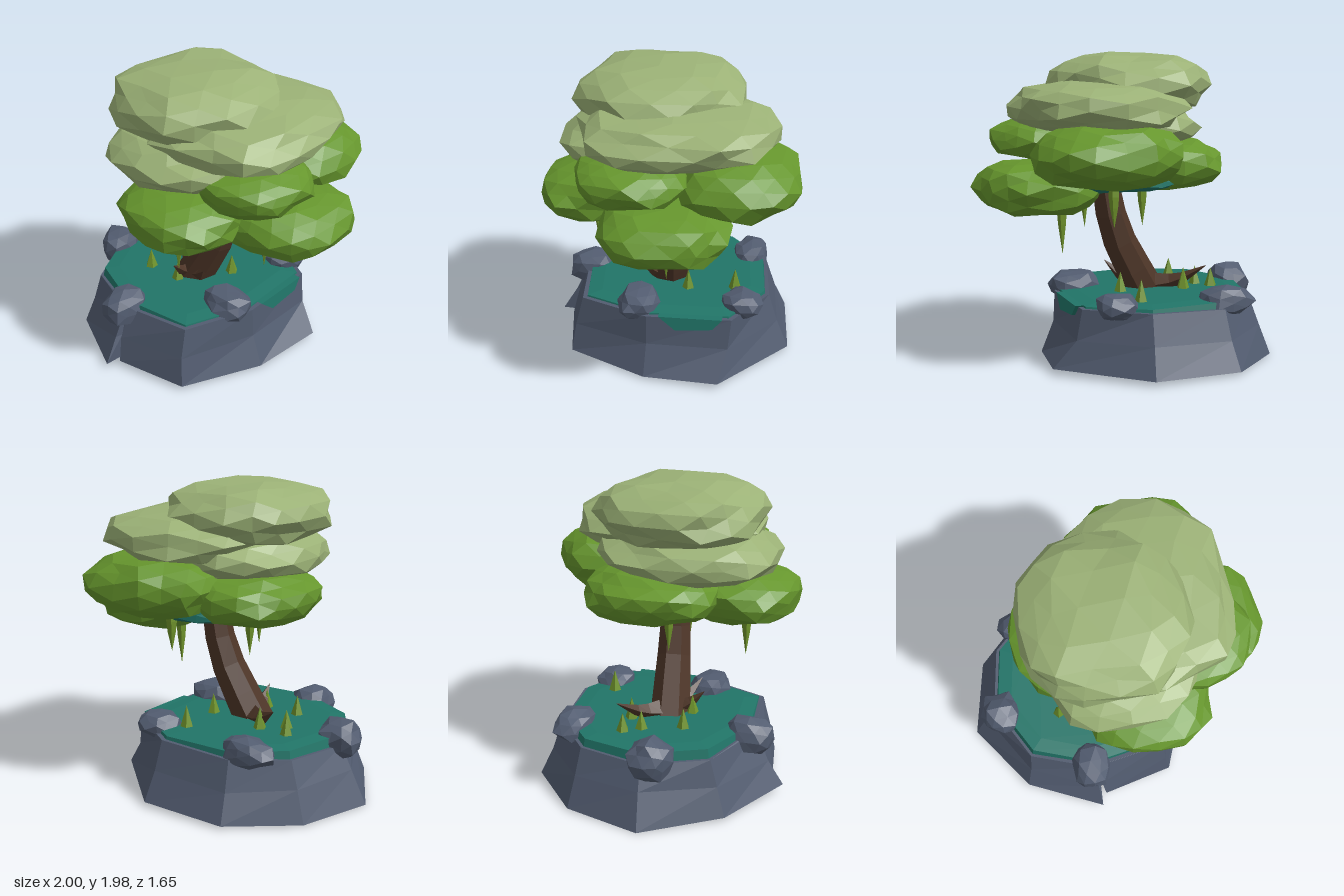
import * as THREE from 'three';

const mat = (name, color, side = THREE.FrontSide) => {
  const m = new THREE.MeshStandardMaterial({ color, flatShading: true, side });
  m.name = name;
  return m;
};

export function createModel() {
  const model = new THREE.Group();
  model.name = 'treeOnRock';
  const stone = mat('slate stone', 0x525c70);
  const moss = mat('teal moss', 0x217568);
  const bark = mat('brown bark', 0x4d3527, THREE.DoubleSide);
  const leaf = mat('green leaves', 0x66962d);
  const paleLeaf = mat('pale leaves', 0x9bb176);
  const grass = mat('grass green', 0x70942c);

  const add = (parent, name, geometry, material) => {
    const mesh = new THREE.Mesh(geometry, material);
    mesh.name = name;
    parent.add(mesh);
    return mesh;
  };
  const group = (name) => {
    const g = new THREE.Group();
    g.name = name;
    model.add(g);
    return g;
  };

  // Stacks outlines of [x, y, z] corners into a closed faceted solid
  const loft = (rings) => {
    const pos = [];
    const n = rings[0].length;
    for (let r = 0; r < rings.length - 1; r++) {
      const a = rings[r], b = rings[r + 1];
      for (let i = 0; i < n; i++) {
        const j = (i + 1) % n;
        pos.push(...a[i], ...b[i], ...a[j], ...a[j], ...b[i], ...b[j]);
      }
    }
    const cap = (ring, up) => {
      const flat = ring.map(([x, , z]) => new THREE.Vector2(x, z));
      for (const [a, b, c] of THREE.ShapeUtils.triangulateShape(flat, [])) {
        pos.push(...ring[a], ...ring[up ? c : b], ...ring[up ? b : c]);
      }
    };
    cap(rings[0], false);
    cap(rings[rings.length - 1], true);
    const g = new THREE.BufferGeometry();
    g.setAttribute('position', new THREE.Float32BufferAttribute(pos, 3));
    g.computeVertexNormals();
    return g;
  };

  // Uneven faceted, slightly boxy ellipsoid; equal corners get equal offsets
  const lump = (radii, seed, detail, rough) => {
    const g = new THREE.IcosahedronGeometry(1, detail);
    const p = g.attributes.position;
    const full = (c) => Math.sign(c) * Math.abs(c) ** 0.85;
    for (let i = 0; i < p.count; i++) {
      const v = [p.getX(i), p.getY(i), p.getZ(i)];
      const k = v.map((c) => Math.round(c * 100));
      const h = Math.sin(k[0] * 12.99 + k[1] * 78.23 + k[2] * 37.72 + seed * 9.17) * 43758.5;
      const s = 1.04 - rough * (h - Math.floor(h));
      p.setXYZ(i, ...v.map((c, a) => full(c) * s * radii[a]));
    }
    g.computeVertexNormals();
    return g;
  };

  // Tapered tube along a curve
  const limb = (points, r0, r1, sides) => {
    const curve = new THREE.CatmullRomCurve3(points.map((q) => new THREE.Vector3(...q)));
    const seg = 5;
    const g = new THREE.TubeGeometry(curve, seg, 1, sides);
    const p = g.attributes.position;
    const v = new THREE.Vector3();
    for (let i = 0; i < p.count; i++) {
      const t = Math.floor(i / (sides + 1)) / seg;
      const c = curve.getPointAt(t);
      v.fromBufferAttribute(p, i).sub(c).multiplyScalar(THREE.MathUtils.lerp(r0, r1, t)).add(c);
      p.setXYZ(i, v.x, v.y, v.z);
    }
    return g;
  };

  // Rock base with a crack low at the front
  const bottom = [[-0.5, 0.02, -0.74], [0.08, 0.03, -0.78], [0.6, 0.04, -0.35], [0.54, 0.015, 0.14],
    [0.31, 0.03, 0.66], [-0.17, 0.04, 0.75], [-0.14, 0.04, 0.03], [-0.21, 0.04, 0.83],
    [-0.7, 0.02, 0.57], [-1, 0, 0.1], [-0.87, 0.01, -0.4]];
  const middle = [[-0.47, 0.2, -0.66], [0.06, 0.22, -0.7], [0.46, 0.22, -0.4], [0.46, 0.22, 0.13],
    [0.28, 0.22, 0.63], [-0.19, 0.2, 0.71], [-0.2, 0.21, 0.69], [-0.22, 0.2, 0.73],
    [-0.66, 0.2, 0.51], [-0.9, 0.22, 0.08], [-0.8, 0.21, -0.37]];
  const top = [[-0.45, 0.39, -0.6], [0.05, 0.41, -0.64], [0.43, 0.42, -0.42], [0.45, 0.42, 0.13],
    [0.27, 0.42, 0.58], [-0.18, 0.4, 0.63], [-0.2, 0.4, 0.63], [-0.21, 0.39, 0.64],
    [-0.64, 0.37, 0.46], [-0.83, 0.37, 0.07], [-0.74, 0.38, -0.35]];
  add(model, 'rockBase', loft([bottom, middle, top]), stone);

  // Mossy ground on top of the rock, spilling over one edge
  const shrink = (s, y) => top.filter((_, i) => i !== 6).map(([x, , z]) => [-0.18 + (x + 0.18) * s, y, z * s]);
  add(model, 'mossGround', loft([shrink(0.98, 0.34), shrink(0.95, 0.43), shrink(0.8, 0.44)]), moss);
  add(model, 'mossSpill', loft([
    [[0.3, 0.36, -0.3], [0.463, 0.36, -0.3], [0.468, 0.34, -0.06], [0.3, 0.34, -0.06]],
    [[0.3, 0.43, -0.36], [0.455, 0.43, -0.36], [0.46, 0.43, 0.05], [0.3, 0.43, 0.05]],
  ]), moss);

  // Loose stones round the rim: centre, radii
  const stones = group('rimStones');
  [
    [[-0.79, 0.4, 0.12], [0.15, 0.14, 0.15]],
    [[-0.25, 0.38, 0.61], [0.14, 0.125, 0.17]],
    [[0.29, 0.44, 0.2], [0.19, 0.1, 0.14]],
    [[0.22, 0.43, -0.47], [0.14, 0.09, 0.14]],
    [[-0.51, 0.42, -0.49], [0.19, 0.1, 0.13]],
  ].forEach(([c, r], i) => {
    add(stones, 'rimStone', lump(r, i + 3, 1, 0.22), stone).position.set(...c);
  });

  // Leaning trunk and pointed roots
  const trunk = group('trunkAndRoots');
  add(trunk, 'trunk', limb([[-0.16, 0.38, 0.05], [-0.05, 0.58, 0.03], [0.07, 0.82, 0.01],
    [0.13, 1.08, 0], [0.17, 1.35, 0]], 0.135, 0.08, 7), bark);
  [[-0.49, 0.59, -0.2], [0.08, 0.59, 0.2], [-0.12, 0.58, 0.27]].forEach(([x, y, z]) => {
    const mid = [-0.15 + (x + 0.15) * 0.5, 0.48, 0.03 + (z - 0.03) * 0.5];
    add(trunk, 'root', limb([[-0.15, 0.44, 0.03], mid, [x, y, z]], 0.085, 0.002, 4), bark);
  });

  // Canopy clumps: centre, radii
  const canopy = group('canopy');
  const clumps = (name, material, list, seed) => list.forEach(([c, r], i) => {
    add(canopy, name, lump(r, seed + i, 2, 0.14), material).position.set(...c);
  });
  clumps('lowerLeaves', leaf, [
    [[0.15, 1.2, 0.44], [0.41, 0.175, 0.39]],
    [[0.6, 1.14, -0.01], [0.4, 0.185, 0.42]],
    [[-0.22, 1.27, -0.04], [0.41, 0.175, 0.44]],
    [[0.27, 1.36, -0.43], [0.47, 0.205, 0.4]],
    [[0.5, 1.43, 0.2], [0.36, 0.145, 0.36]],
  ], 11);
  clumps('upperLeaves', paleLeaf, [
    [[-0.06, 1.775, 0.09], [0.52, 0.205, 0.55]],
    [[0, 1.5, 0.14], [0.5, 0.175, 0.59]],
    [[0.22, 1.64, -0.05], [0.56, 0.175, 0.64]],
  ], 31);
  clumps('canopyUnderside', moss, [[[0.08, 1.2, -0.08], [0.42, 0.1, 0.43]]], 41);

  // Hanging vines: x, tip height, z, length
  const vines = group('hangingVines');
  [[0.43, 0.69, 0, 0.3], [0.13, 0.77, 0.48, 0.28], [-0.13, 0.84, 0.03, 0.25],
    [0.35, 0.97, 0.27, 0.12], [0.2, 0.9, -0.36, 0.2]].forEach(([x, y, z, h]) => {
    const profile = [[0, 0], [0.028, h * 0.65], [0.036, h], [0.03, h + 0.12]]
      .map(([r, v]) => new THREE.Vector2(r, v));
    add(vines, 'vine', new THREE.LatheGeometry(profile, 5), grass).position.set(x, y, z);
  });

  // Grass tufts
  const tufts = group('grassTufts');
  [[-0.48, -0.04], [-0.39, 0.21], [-0.35, -0.15], [-0.15, 0.2], [0.07, -0.1], [0.04, -0.41],
    [-0.55, -0.14]].forEach(([x, z], i) => {
    const h = 0.13 + 0.01 * (i % 3);
    const tuft = add(tufts, 'grassTuft', new THREE.ConeGeometry(0.045, h, 5), grass);
    tuft.position.set(x, 0.43 + h / 2, z);
    tuft.rotation.y = i;
  });

  return model;
}
